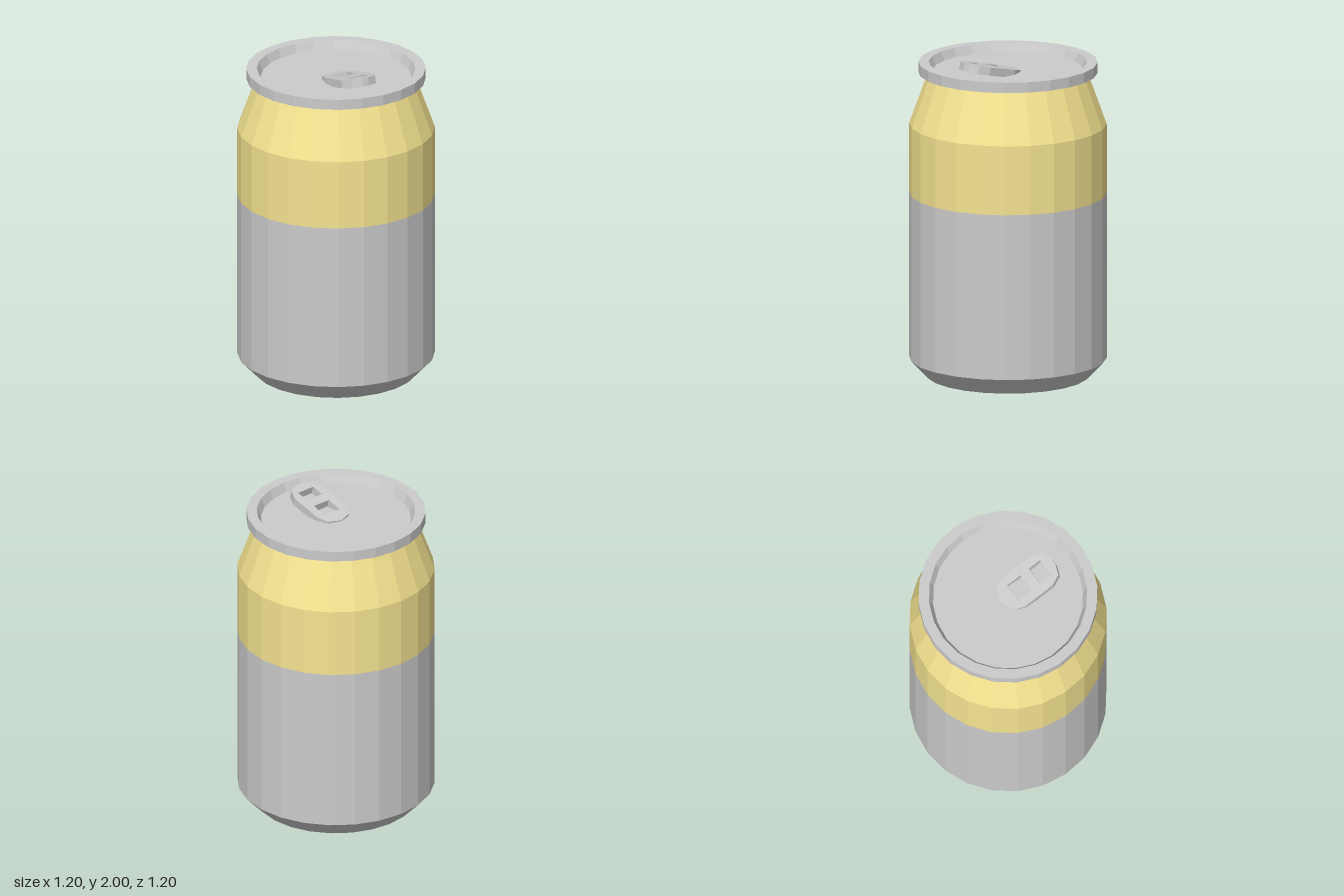
import * as THREE from 'three';

const SIDES = 24;
const makeMaterial = (color) =>
  new THREE.MeshStandardMaterial({ color, flatShading: true, side: THREE.DoubleSide });

export function createModel() {
  const can = new THREE.Group();
  can.name = 'can';
  const metal = makeMaterial(0xcccccc);
  const yellow = makeMaterial(0xf5e491);

  // Turned part from [radius, height] pairs, listed along the outside upwards
  function turned(name, profile, material) {
    const points = profile.map(([r, y]) => new THREE.Vector2(r, y));
    const mesh = new THREE.Mesh(new THREE.LatheGeometry(points, SIDES), material);
    mesh.name = name;
    can.add(mesh);
  }

  // Shallow dished base, chamfer and lower wall
  turned('lowerBody', [[0, 0.03], [0.42, 0.03], [0.495, 0], [0.6, 0.11], [0.6, 1.14]], metal);

  // Coloured upper wall and tapering shoulder
  turned('upperBody', [[0.6, 1.14], [0.6, 1.57], [0.485, 1.89]], yellow);

  // Overhanging rim with the sunken lid inside it
  turned('rimAndLid', [
    [0.485, 1.89], [0.545, 1.89], [0.545, 1.955],
    [0.482, 1.955], [0.457, 1.902], [0, 1.902],
  ], metal);

  // Pull tab: half outline as [x, distance back from the front edge], mirrored
  const half = [[0.02, 0], [0.085, 0.025], [0.115, 0.093], [0.115, 0.303], [0.085, 0.375]];
  const outline = [
    ...half,
    [0, 0.403],
    ...half.map(([x, d]) => [-x, d]).reverse(),
  ].map(([x, d]) => new THREE.Vector2(x, d));
  const tabShape = new THREE.Shape(outline);

  // Two square openings
  for (const [front, back] of [[0.062, 0.145], [0.21, 0.313]]) {
    tabShape.holes.push(new THREE.Path([
      new THREE.Vector2(-0.06, front),
      new THREE.Vector2(-0.06, back),
      new THREE.Vector2(0.06, back),
      new THREE.Vector2(0.06, front),
    ]));
  }
  const thickness = 0.05;
  const tabGeometry = new THREE.ExtrudeGeometry(tabShape, { depth: thickness, bevelEnabled: false });
  tabGeometry.translate(0, 0, -thickness);
  const tab = new THREE.Mesh(tabGeometry, metal);
  tab.name = 'pullTab';
  tab.rotation.x = -Math.PI / 2 - 0.23; // raised towards the front
  tab.position.set(0, 2, 0.34);
  can.add(tab);

  return can;
}
